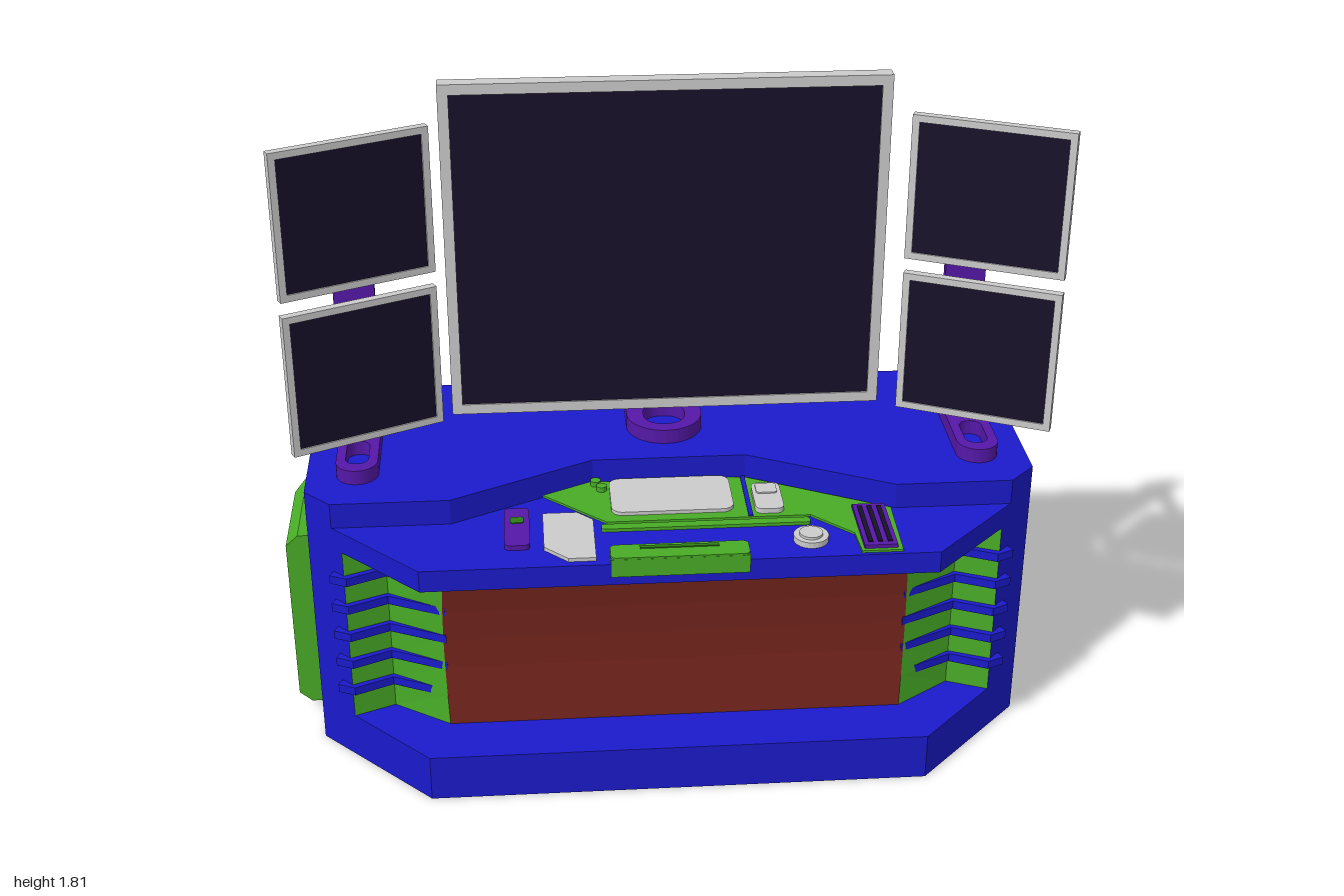
import * as THREE from 'three';

const BLUE = 0x1a1acc, GREEN = 0x48ac26, DARKGREEN = 0x2f7d18, PURPLE = 0x5518a8,
  RED = 0x74241c, SCREEN = 0x171029, GREY = 0xcccccc;
const mats = {};
const mat = c => mats[c] ??= new THREE.MeshStandardMaterial({ color: c, flatShading: true, side: THREE.DoubleSide });

function add(parent, name, geo, color, x = 0, y = 0, z = 0) {
  const m = new THREE.Mesh(geo, mat(color));
  m.name = name;
  m.position.set(x, y, z);
  parent.add(m);
  return m;
}
const box = (p, name, color, w, h, d, x, y, z) => add(p, name, new THREE.BoxGeometry(w, h, d), color, x, y, z);

// Surface through rows of points
function sheet(rows) {
  const pos = [], idx = [], n = rows[0].length;
  rows.forEach(r => r.forEach(p => pos.push(...p)));
  for (let j = 0; j < rows.length - 1; j++)
    for (let i = 0; i < n - 1; i++) {
      const a = j * n + i;
      idx.push(a, a + 1, a + n, a + 1, a + n + 1, a + n);
    }
  let g = new THREE.BufferGeometry();
  g.setAttribute('position', new THREE.Float32BufferAttribute(pos, 3));
  g.setIndex(idx);
  g = g.toNonIndexed();
  g.computeVertexNormals();
  return g;
}
// Upright wall over a floor path of [x, z]
const wall = (path, y0, y1) => sheet([y0, y1].map(y => path.map(([x, z]) => [x, y, z])));
const shapeXZ = pts => new THREE.Shape(pts.map(([x, z]) => new THREE.Vector2(x, -z)));
const flat = (pts, y) => new THREE.ShapeGeometry(shapeXZ(pts)).rotateX(-Math.PI / 2).translate(0, y, 0);
// Horizontal slab from y0 to y1
const slab = (shape, y0, y1) => new THREE.ExtrudeGeometry(shape, { depth: y1 - y0, bevelEnabled: false, curveSegments: 10 })
  .rotateX(-Math.PI / 2).translate(0, y0, 0);
const mirror = pts => pts.concat(pts.map(([x, z]) => [-x, z]).reverse());

function roundRect(cx, cy, w, h, r, Type = THREE.Shape) {
  const s = new Type(), a = w / 2 - r, b = h / 2 - r;
  s.absarc(cx + a, cy + b, r, 0, Math.PI / 2);
  s.absarc(cx - a, cy + b, r, Math.PI / 2, Math.PI);
  s.absarc(cx - a, cy - b, r, Math.PI, Math.PI * 1.5);
  s.absarc(cx + a, cy - b, r, Math.PI * 1.5, Math.PI * 2);
  s.closePath();
  return s;
}

// Flat display facing +z with a bevelled back; its front is at z = 0
function monitor(name, w, h, depth, bevel, rim) {
  const g = new THREE.Group();
  g.name = name;
  const ring = (inset, z) => [[-1, -1], [1, -1], [1, 1], [-1, 1], [-1, -1]]
    .map(([a, b]) => [a * (w / 2 - inset), b * (h / 2 - inset), z]);
  const centre = z => Array(5).fill([0, 0, z]);
  add(g, 'monitorCase', sheet([centre(-0.008), ring(rim, -0.008), ring(rim, 0), ring(0, 0),
    ring(0, -depth * 0.5), ring(bevel, -depth), centre(-depth)]), GREY);
  add(g, 'screen', new THREE.PlaneGeometry(w - 2 * rim, h - 2 * rim), SCREEN, 0, 0, -0.004);
  return g;
}

// Upright post on a rounded foot with a sloping brace
function stand(name, w, top, zBack, zFront, holes) {
  const g = new THREE.Group(), r = w / 2, len = zFront - zBack;
  g.name = name;
  const foot = new THREE.Shape();
  foot.moveTo(-r, -zBack);
  foot.lineTo(-r, -zFront + r);
  foot.absarc(0, -zFront + r, r, Math.PI, Math.PI * 2);
  foot.lineTo(r, -zBack);
  foot.closePath();
  foot.holes.push(roundRect(0, -zFront + len * 0.3, w * 0.55, len * 0.36, w * 0.25, THREE.Path));
  add(g, 'standFoot', slab(foot, 0.77, 0.81), PURPLE);
  const post = roundRect(0, (top + 0.77) / 2, w, top - 0.77, holes ? 0.04 : 0.006);
  if (holes) for (const y of [1.05, 1.37])
    post.holes.push(roundRect(0, y, w * 0.66, 0.19, 0.015, THREE.Path));
  add(g, 'standPost', new THREE.ExtrudeGeometry(post, { depth: 0.022, bevelEnabled: false }), PURPLE, 0, 0, zBack);
  const brace = box(g, 'standBrace', PURPLE, w * 0.95, 0.014, 0.145, 0, 0.855, zBack + 0.075);
  brace.rotation.x = 0.74;
  return g;
}

export function createModel() {
  const root = new THREE.Group();
  root.name = 'controlDesk';
  const desk = new THREE.Group();
  desk.name = 'desk';
  desk.position.x = 0.033;
  root.add(desk);

  // Desk shell, open at the back and below
  const edge = mirror([[0.887, 0.22], [0.58, 0.22], [0.205, 0.03]]);
  add(desk, 'upperTop', flat([[-0.957, -0.45], [0.957, -0.45], [0.957, 0.15], ...edge, [-0.957, 0.15]], 0.77), BLUE);
  add(desk, 'topStep', wall(edge, 0.7, 0.77), BLUE);
  add(desk, 'consoleTop', flat([[-0.657, 0.45], [0.657, 0.45], ...edge], 0.7), BLUE);
  const nose = mirror([[0.862, 0.245], [0.657, 0.45]]);
  const inner = mirror([[0.862, 0.245], [0.755, 0.2], [0.605, 0.3]]);
  add(desk, 'baseFront', wall(nose, 0, 0.13), BLUE);
  add(desk, 'consoleFront', wall(nose, 0.64, 0.7), BLUE);
  for (const [name, y] of [['baseLedge', 0.13], ['consoleUnderside', 0.64]])
    add(desk, name, flat([...nose, ...inner.slice(1, -1).reverse()], y), BLUE);
  for (const s of [-1, 1]) {
    add(desk, 'cornerWall', wall([[s * 0.957, 0.15], [s * 0.887, 0.22]], 0, 0.77), BLUE);
    add(desk, 'cornerEdge', wall([[s * 0.887, 0.22], [s * 0.862, 0.245]], 0, 0.7), BLUE);
  }
  add(desk, 'leftWall', wall([[0.957, -0.45], [0.957, 0.15]], 0, 0.77), BLUE);

  // Right wall, cut out behind the side pod
  const side = new THREE.Shape([[-0.45, 0], [0.15, 0], [0.15, 0.77], [-0.45, 0.77]].map(p => new THREE.Vector2(...p)));
  side.holes.push(new THREE.Path([[-0.335, 0.035], [-0.335, 0.57], [0.03, 0.57], [0.03, 0.035]].map(p => new THREE.Vector2(...p))));
  add(desk, 'rightWall', new THREE.ShapeGeometry(side).rotateY(-Math.PI / 2), BLUE, -0.957);
  const ring = (x, z0, z1, y0, y1) => [[y0, z0], [y0, z1], [y1, z1], [y1, z0], [y0, z0]].map(([y, z]) => [x, y, z]);
  add(root, 'sidePod', sheet([ring(-0.924, -0.335, 0.03, 0.035, 0.57), ring(-0.967, -0.3, 0.03, 0.035, 0.57),
    ring(-1, -0.265, 0.03, 0.065, 0.54), ring(-1, -0.13, -0.13, 0.3, 0.3)]), GREEN);

  // Curved knee panel and the slatted vents beside it
  const rows = f => [0, 1, 2, 3, 4, 5, 6].map(j => {
    const d = 0.02 * Math.sin(Math.PI * j / 6), y = 0.13 + 0.51 * j / 6;
    return f(d).map(([x, z]) => [x, y, z]);
  });
  add(desk, 'kneePanel', sheet(rows(d => [[-0.605 - d * 0.4, 0.3 - d], [0.605 + d * 0.4, 0.3 - d]])), RED);
  for (const s of [-1, 1]) {
    add(desk, 'ventPanel', sheet(rows(d => [[s * (0.605 + d * 0.4), 0.3 - d], [s * 0.755, 0.2], [s * 0.862, 0.245]])), GREEN);
    const slat = [[0.605, 0.285], [0.755, 0.215], [0.855, 0.26], [0.9, 0.24], [0.89, 0.22], [0.755, 0.17], [0.605, 0.25]];
    for (let i = 0; i < 5; i++) {
      const y = 0.218 + i * 0.085;
      add(desk, 'ventSlat', slab(shapeXZ(slat.map(([x, z]) => [s * x, z])), y - 0.012, y + 0.012), BLUE);
    }
  }

  // Controls on the console
  const c = new THREE.Group();
  c.name = 'consoleControls';
  root.add(c);
  add(c, 'controlPlate', slab(shapeXZ([[-0.31, 0.095], [-0.19, 0.035], [0.235, 0.035], [0.6, 0.225], [0.595, 0.44],
    [0.49, 0.44], [0.485, 0.35], [0.385, 0.25], [-0.145, 0.25]]), 0.694, 0.706), GREEN);
  box(c, 'plateGroove', BLUE, 0.012, 0.004, 0.21, 0.23, 0.707, 0.14);
  const pads = [['displayPad', GREY, 0.03, 0.13, 0.32, 0.18, 0.03, 0.716], ['handset', GREY, 0.282, 0.165, 0.075, 0.14, 0.02, 0.72],
    ['handsetKey', GREY, 0.282, 0.13, 0.055, 0.05, 0.01, 0.724], ['remote', PURPLE, -0.377, 0.27, 0.065, 0.19, 0.015, 0.714],
    ['remoteKey', DARKGREEN, -0.377, 0.24, 0.035, 0.03, 0.008, 0.717], ['frontGrip', GREEN, 0.03, 0.425, 0.35, 0.065, 0.015, 0.722],
    ['greenBar', GREEN, 0.11, 0.278, 0.54, 0.026, 0.008, 0.709]];
  for (const [name, col, x, z, w, d, r, top] of pads)
    add(c, name, slab(roundRect(x, -z, w, d, r), 0.698, top), col);
  box(c, 'gripFace', GREEN, 0.35, 0.05, 0.012, 0.03, 0.692, 0.452);
  box(c, 'gripSlot', DARKGREEN, 0.2, 0.006, 0.012, 0.03, 0.722, 0.41);
  add(c, 'notepad', slab(shapeXZ([[-0.31, 0.2], [-0.22, 0.2], [-0.18, 0.24], [-0.18, 0.43], [-0.25, 0.43], [-0.31, 0.37]]), 0.7, 0.71), GREY);
  add(c, 'dial', new THREE.CylinderGeometry(0.045, 0.045, 0.016, 24), GREY, 0.37, 0.708, 0.365);
  add(c, 'dialCap', new THREE.CylinderGeometry(0.03, 0.03, 0.01, 24), GREY, 0.37, 0.718, 0.365);
  for (const [x, z] of [[-0.165, 0.05], [-0.15, 0.08]])
    add(c, 'button', new THREE.CylinderGeometry(0.014, 0.014, 0.016, 14), GREEN, x, 0.712, z);
  box(c, 'sliderBank', PURPLE, 0.085, 0.012, 0.21, 0.54, 0.71, 0.325);
  for (let i = -1; i <= 1; i++) box(c, 'slider', SCREEN, 0.012, 0.006, 0.18, 0.54 + i * 0.025, 0.716, 0.325);

  // Main monitor on the middle stand
  const main = monitor('mainMonitor', 1.12, 0.895, 0.085, 0.045, 0.027);
  main.position.set(-0.008, 1.3675, 0.03);
  main.position.x = 0.025;
  root.add(main);
  const mid = stand('middleStand', 0.205, 1.505, -0.39, -0.05, true);
  mid.position.x = 0.033;
  root.add(mid);
  box(root, 'mainArm', GREY, 0.105, 0.07, 0.325, 0.033, 1.22, -0.215);

  // Pairs of angled monitors on the side stands
  for (const s of [-1, 1]) {
    const post = stand('sideStand', 0.11, 1.545, -0.226, 0.12, false);
    post.position.x = 0.033 + s * 0.823;
    root.add(post);
    for (const [yArm, yMon] of [[1.495, 1.545], [1.075, 1.125]]) {
      box(root, 'sideArm', GREY, 0.045, 0.022, 0.29, 0.033 + s * 0.823, yArm, -0.07);
      const m = monitor('sideMonitor', 0.405, 0.38, 0.045, 0.03, 0.018);
      m.position.set(0.033 + s * 0.773, yMon, 0.182);
      m.rotation.y = -s * 0.436;
      root.add(m);
      box(m, 'monitorKnuckle', GREY, 0.07, 0.07, 0.09, 0, yArm - yMon, -0.085);
    }
  }
  return root;
}
